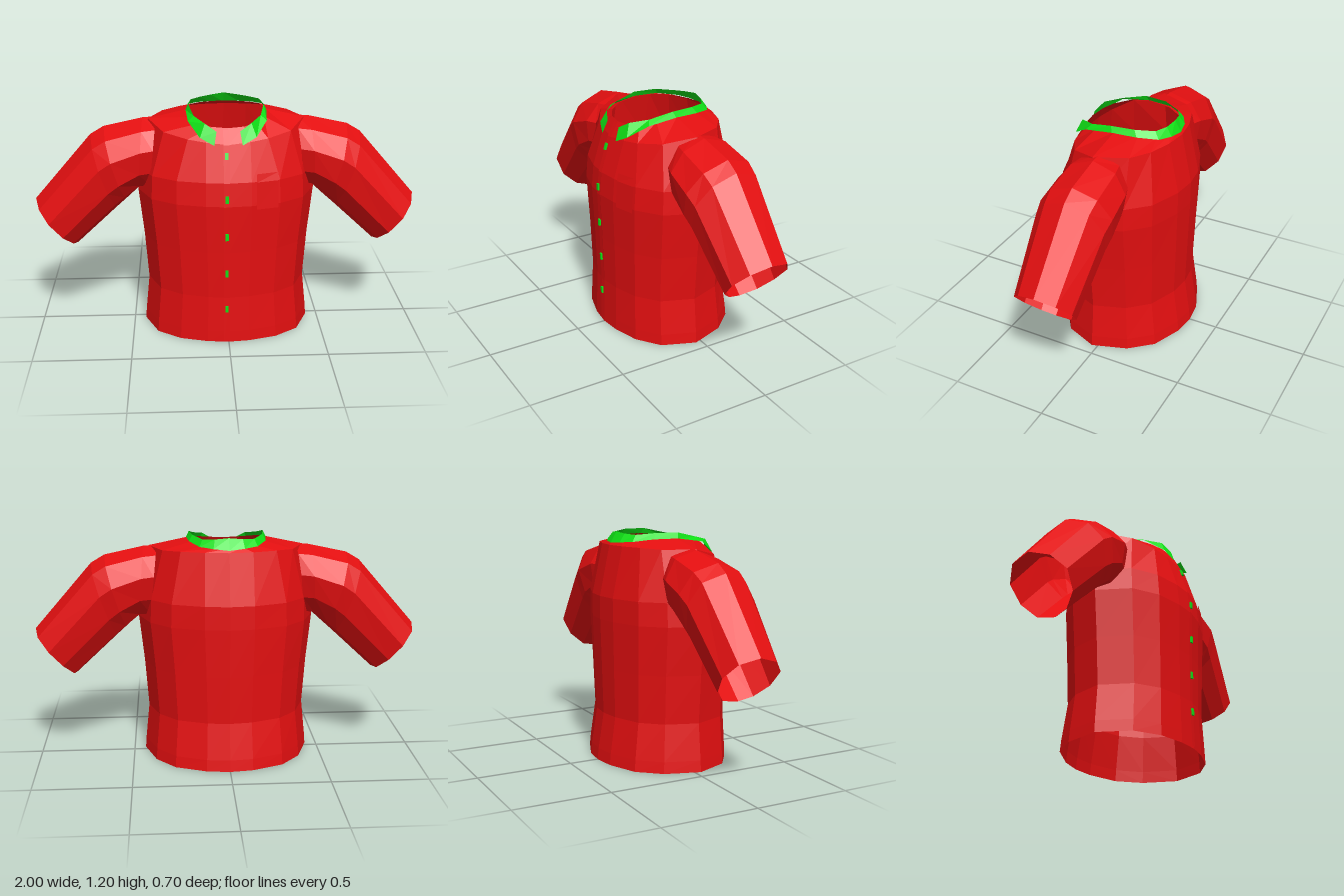
import * as THREE from 'three';

const mat = (name, color) => {
  const m = new THREE.MeshStandardMaterial({ color, flatShading: true, side: THREE.DoubleSide });
  m.name = name;
  return m;
};

// Skin a list of equal-length rings with flat quads
function loft(rings, closed = true) {
  const pos = [];
  const n = rings[0].length;
  for (let r = 0; r < rings.length - 1; r++) {
    for (let i = 0; i < (closed ? n : n - 1); i++) {
      const j = (i + 1) % n;
      const [a, b, c, d] = [rings[r][i], rings[r][j], rings[r + 1][j], rings[r + 1][i]];
      pos.push(...a, ...b, ...c, ...a, ...c, ...d);
    }
  }
  const g = new THREE.BufferGeometry();
  g.setAttribute('position', new THREE.Float32BufferAttribute(pos, 3));
  g.computeVertexNormals();
  return g;
}

const flip = ([x, y, z]) => [-x, y, z];
// Half outline from front centre to back centre, completed on the other side
const mirrorRing = (half) => [...half, ...half.slice(1, -1).reverse().map(flip)];

export function createModel() {
  const shirt = new THREE.Group();
  shirt.name = 'shirt';
  const red = mat('red cloth', 0xe40f10);
  const green = mat('green trim', 0x0fe016);
  const add = (name, geo, material) => {
    const m = new THREE.Mesh(geo, material);
    m.name = name;
    shirt.add(m);
    return m;
  };

  // Body: one cross-section scaled at each height, then the yoke and neckline
  const section = [[0, 0.34], [0.11, 0.328], [0.25, 0.287], [0.37, 0.2], [0.44, 0.03],
    [0.38, -0.15], [0.28, -0.265], [0.12, -0.33], [0, -0.345]];
  const levels = [[0, 1, 1, 1], [0.06, 0.99, 0.995, 0.98], [0.25, 0.945, 0.975, 0.89],
    [0.5, 0.985, 0.99, 0.91], [0.75, 1.045, 1.015, 0.93], [0.87, 1.03, 0.98, 0.93]];
  const rings = levels.map(([y, sx, front, back]) =>
    mirrorRing(section.map(([x, z]) => [x * sx, y, z * (z > 0 ? front : back)])));
  rings.push(mirrorRing([[0, 1.05, 0.275], [0.11, 1.06, 0.262], [0.2, 1.07, 0.235],
    [0.32, 1.09, 0.165], [0.4, 1.125, 0.02], [0.33, 1.125, -0.14], [0.24, 1.13, -0.21],
    [0.12, 1.13, -0.25], [0, 1.13, -0.265]]));
  rings.push(mirrorRing([[0, 1.125, 0.235], [0.08, 1.13, 0.225], [0.14, 1.14, 0.19],
    [0.185, 1.155, 0.12], [0.2, 1.168, 0.01], [0.18, 1.165, -0.11], [0.13, 1.155, -0.19],
    [0.07, 1.15, -0.23], [0, 1.15, -0.245]]));
  add('body', loft(rings), red);

  // Sleeves: ten-sided tube; each ring runs from a top point to a bottom point
  const cuff = [[0, 0], [0.1, 0.125], [0.16, 0.375], [0.15, 0.7], [0.09, 0.92],
    [0.02, 1], [-0.07, 0.94], [-0.13, 0.7], [-0.148, 0.375], [-0.1, 0.1]];
  const stations = [
    [0.36, 1.13, 0.40, 0.76, 1.05],
    [0.43, 1.125, 0.455, 0.76, 1.2],
    [0.63, 1.082, 0.52, 0.70, 1.26],
    [0.7, 1.04, 0.57, 0.655, 1.2],
    [1.0, 0.695, 0.79, 0.45, 1.02],
  ];
  const sleeve = stations.map(([tx, ty, bx, by, s]) =>
    cuff.map(([z, t]) => [tx + (bx - tx) * t, ty + (by - ty) * t, z * s]));
  add('leftSleeve', loft(sleeve), red);
  add('rightSleeve', loft(sleeve.map((r) => r.map(flip).reverse())), red);

  // Collar: open band, with points falling either side of the front gap
  const lower = [[0.07, 1.05, 0.287], [0.14, 1.085, 0.262], [0.197, 1.145, 0.17],
    [0.207, 1.166, 0.02], [0.195, 1.165, -0.11], [0.145, 1.152, -0.205],
    [0.078, 1.147, -0.243], [0, 1.14, -0.257]];
  const upper = [[0.058, 1.115, 0.262], [0.115, 1.15, 0.235], [0.168, 1.168, 0.15],
    [0.192, 1.195, 0.03], [0.178, 1.195, -0.09], [0.13, 1.186, -0.18],
    [0.07, 1.19, -0.213], [0, 1.198, -0.225]];
  const wrap = (h) => [...h, ...h.slice(0, -1).reverse().map(flip)];
  add('collar', loft([wrap(lower), wrap(upper)], false), green);

  // Front placket strip, lying just off the body
  const edge = [[0.01, 0.343], [0.25, 0.336], [0.5, 0.341], [0.75, 0.349], [0.87, 0.337], [1.05, 0.279], [1.12, 0.242]];
  add('placket', loft(edge.map(([y, z]) => [[-0.025, y, z], [0.005, y, z]]), false), red);

  // Buttons
  [[0.19, 0.343], [0.39, 0.343], [0.59, 0.348], [0.79, 0.35], [1.0, 0.301]].forEach(([y, z], i) => {
    const b = add('button' + (i + 1), new THREE.BoxGeometry(0.016, 0.035, 0.009), green);
    b.position.set(-0.01, y, z);
    if (y > 0.87) b.rotation.x = -0.32;
  });

  // Chest pocket
  add('pocket', loft([
    [[0.14, 0.73, 0.33], [0.25, 0.73, 0.299]],
    [[0.14, 0.87, 0.322], [0.25, 0.87, 0.29]],
    [[0.14, 0.91, 0.314], [0.25, 0.91, 0.278]],
  ], false), red);

  return shirt;
}
